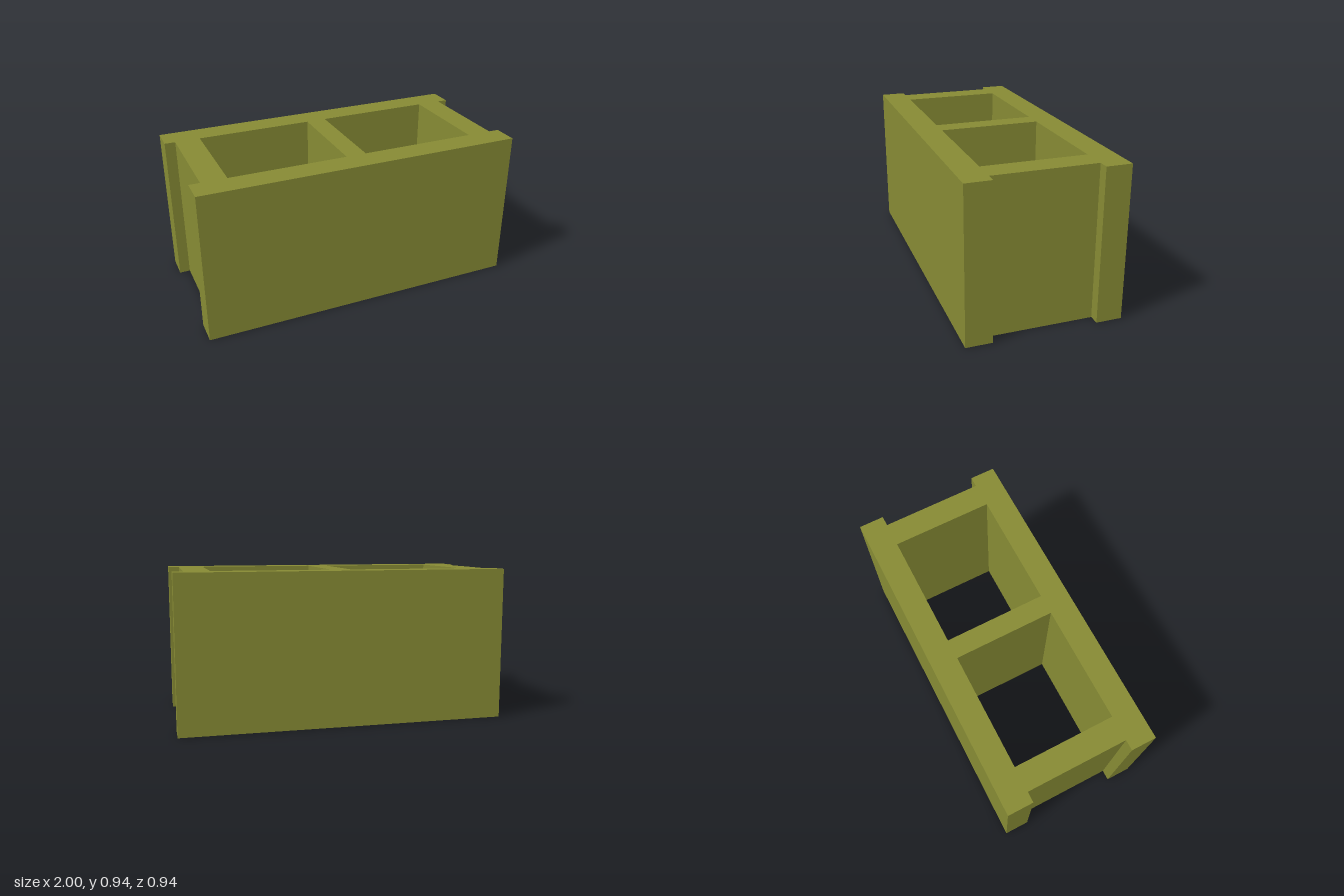
import * as THREE from 'three';

// Half sizes of the block's plan, in x and z
const HALF_LENGTH = 1;
const HALF_DEPTH = 0.468;
const HEIGHT = 0.936;
const INNER_Z = 0.312; // inner face of the long walls
const END_X = 0.935; // recessed outer face of the end webs
const CORE_X = [0.062, 0.782]; // extent of each hollow core

const points = (list) => list.map(([x, y]) => new THREE.Vector2(x, y));

export function createModel() {
  const group = new THREE.Group();
  group.name = 'concreteBlock';

  const olive = new THREE.MeshStandardMaterial({ color: 0x868a34 });
  olive.name = 'olive';

  // Plan outline with a shallow recess in each end
  const plan = new THREE.Shape(points([
    [-HALF_LENGTH, -HALF_DEPTH], [HALF_LENGTH, -HALF_DEPTH],
    [HALF_LENGTH, -INNER_Z], [END_X, -INNER_Z], [END_X, INNER_Z], [HALF_LENGTH, INNER_Z],
    [HALF_LENGTH, HALF_DEPTH], [-HALF_LENGTH, HALF_DEPTH],
    [-HALF_LENGTH, INNER_Z], [-END_X, INNER_Z], [-END_X, -INNER_Z], [-HALF_LENGTH, -INNER_Z],
  ]));

  // Two mirrored cores running right through
  for (const side of [-1, 1]) {
    const [a, b] = CORE_X.map((x) => x * side);
    plan.holes.push(new THREE.Path(points([
      [a, -INNER_Z], [a, INNER_Z], [b, INNER_Z], [b, -INNER_Z],
    ])));
  }

  // Raise the plan into the block, standing on y = 0
  const geometry = new THREE.ExtrudeGeometry(plan, { depth: HEIGHT, bevelEnabled: false });
  geometry.rotateX(-Math.PI / 2);

  const block = new THREE.Mesh(geometry, olive);
  block.name = 'hollowBlock';
  group.add(block);
  return group;
}
